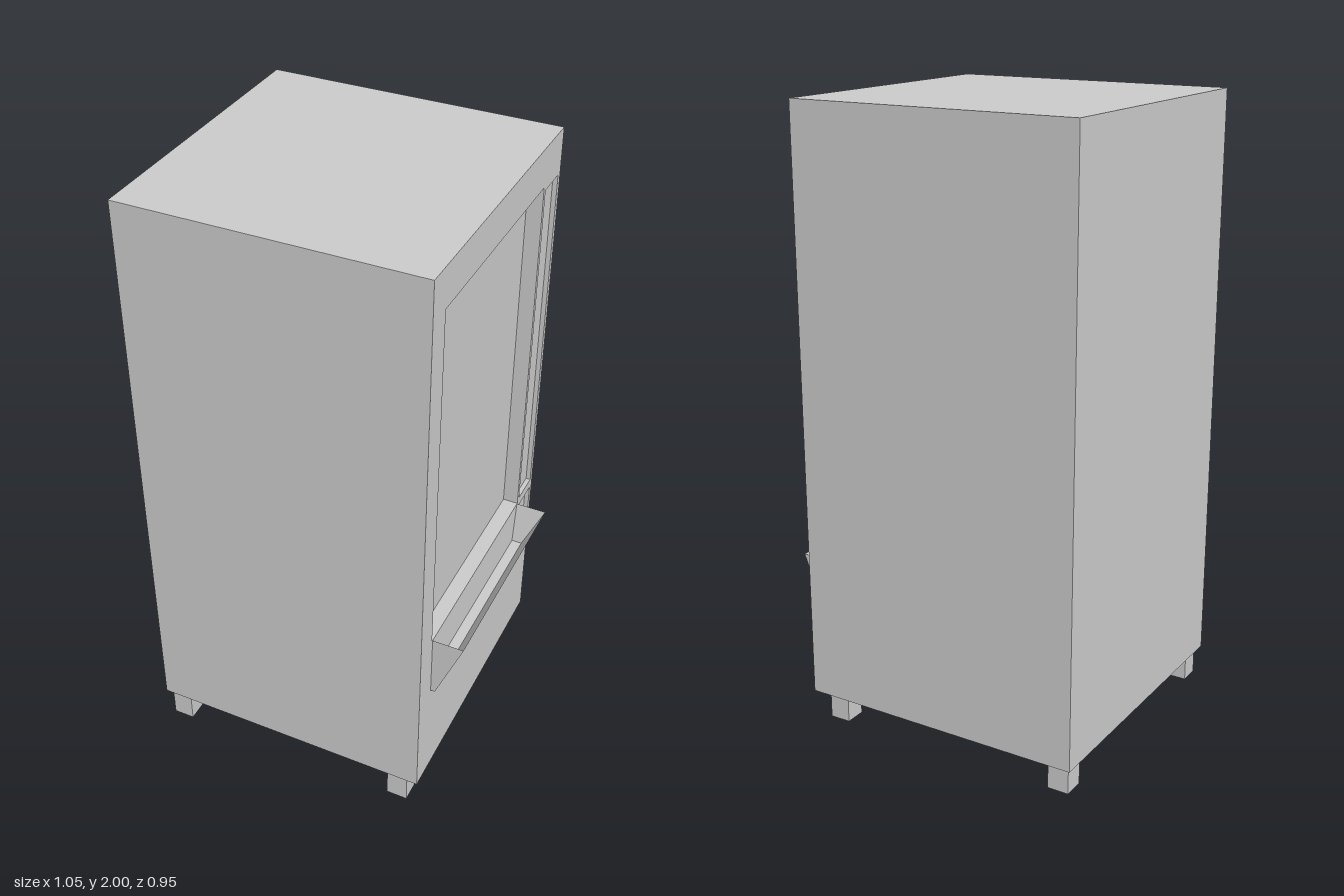
import * as THREE from 'three';

const grey = new THREE.MeshStandardMaterial({ color: 0xcccccc, flatShading: true });
const thin = new THREE.MeshStandardMaterial({ color: 0xcccccc, flatShading: true, side: THREE.DoubleSide });

// Main dimensions: the glazed side of the cabinet faces +x
const BACK = -0.525, FACE = 0.423, Z0 = -0.475, Z1 = 0.472, BOTTOM = 0.1, TOP = 2;
const DEPTH = 0.05;

// Recesses in the face: extents along z and y, and depth
const recesses = [
  { name: 'displayWindow', z0: -0.335, z1: 0.39, y0: 0.68, y1: 1.87, depth: DEPTH },
  { name: 'controlPanel', z0: -0.457, z1: -0.35, y0: 0.695, y1: 1.855, depth: 0.015 },
  { name: 'changePanel', z0: -0.457, z1: -0.35, y0: 0.48, y1: 0.66, depth: 0.015 },
];

function add(group, name, geometry, material = grey) {
  const mesh = new THREE.Mesh(geometry, material);
  mesh.name = name;
  group.add(mesh);
  return mesh;
}

function box(x0, x1, y0, y1, z0, z1) {
  return new THREE.BoxGeometry(x1 - x0, y1 - y0, z1 - z0)
    .translate((x0 + x1) / 2, (y0 + y1) / 2, (z0 + z1) / 2);
}

// Rectangle in the face plane, with z mirrored to suit the later turn
function rectangle(path, z0, z1, y0, y1) {
  path.moveTo(-z1, y0);
  path.lineTo(-z0, y0);
  path.lineTo(-z0, y1);
  path.lineTo(-z1, y1);
  path.closePath();
  return path;
}

// Open-topped hopper: outer foot, rim and inner floor are joined as loops
function hopper(loops) {
  const points = [];
  for (const { x0, x1, z0, z1, y } of loops) {
    points.push(x0, y, z0, x0, y, z1, x1, y, z1, x1, y, z0);
  }
  const index = [];
  for (let row = 0; row < loops.length - 1; row++) {
    for (let i = 0; i < 4; i++) {
      const a = row * 4 + i, b = row * 4 + (i + 1) % 4;
      index.push(a, b, b + 4, a, b + 4, a + 4);
    }
  }
  const last = (loops.length - 1) * 4;
  index.push(0, 2, 1, 0, 3, 2);
  index.push(last, last + 1, last + 2, last, last + 2, last + 3);
  const geometry = new THREE.BufferGeometry();
  geometry.setAttribute('position', new THREE.Float32BufferAttribute(points, 3));
  geometry.setIndex(index);
  const flat = geometry.toNonIndexed();
  flat.computeVertexNormals();
  return flat;
}

export function createModel() {
  const model = new THREE.Group();
  model.name = 'vendingCabinet';

  // Cabinet body behind the face plate
  add(model, 'cabinet', box(BACK, FACE - DEPTH, BOTTOM, TOP, Z0, Z1));

  // Face plate with openings, and the panels set back inside them
  const plate = rectangle(new THREE.Shape(), Z0, Z1, BOTTOM, TOP);
  for (const r of recesses) {
    plate.holes.push(rectangle(new THREE.Path(), r.z0, r.z1, r.y0, r.y1));
    if (r.depth < DEPTH) {
      add(model, r.name, box(FACE - DEPTH, FACE - r.depth, r.y0, r.y1, r.z0, r.z1));
    }
  }
  add(model, 'facePlate', new THREE.ExtrudeGeometry(plate, { depth: DEPTH, bevelEnabled: false })
    .rotateY(Math.PI / 2).translate(FACE - DEPTH, 0, 0));

  // Delivery tray under the window
  add(model, 'deliveryTray', hopper([
    { x0: FACE, x1: 0.437, z0: -0.332, z1: 0.385, y: 0.46 },
    { x0: FACE, x1: 0.525, z0: -0.332, z1: 0.385, y: 0.68 },
    { x0: FACE + 0.003, x1: 0.46, z0: -0.302, z1: 0.352, y: 0.54 },
  ]), thin);

  // Small change cup in the lower panel
  add(model, 'changeCup', hopper([
    { x0: 0.408, x1: 0.435, z0: -0.457, z1: -0.352, y: 0.52 },
    { x0: 0.408, x1: 0.455, z0: -0.457, z1: -0.352, y: 0.57 },
    { x0: 0.41, x1: 0.44, z0: -0.453, z1: -0.356, y: 0.535 },
  ]), thin);

  // Four square feet, open underneath
  for (const x of [-0.467, 0.35]) {
    for (const z of [-0.404, 0.43]) {
      const foot = new THREE.CylinderGeometry(0.07 / Math.SQRT2, 0.07 / Math.SQRT2, BOTTOM, 4, 1, true);
      foot.rotateY(Math.PI / 4).translate(x, BOTTOM / 2, z);
      add(model, 'foot', foot, thin);
    }
  }
  return model;
}
